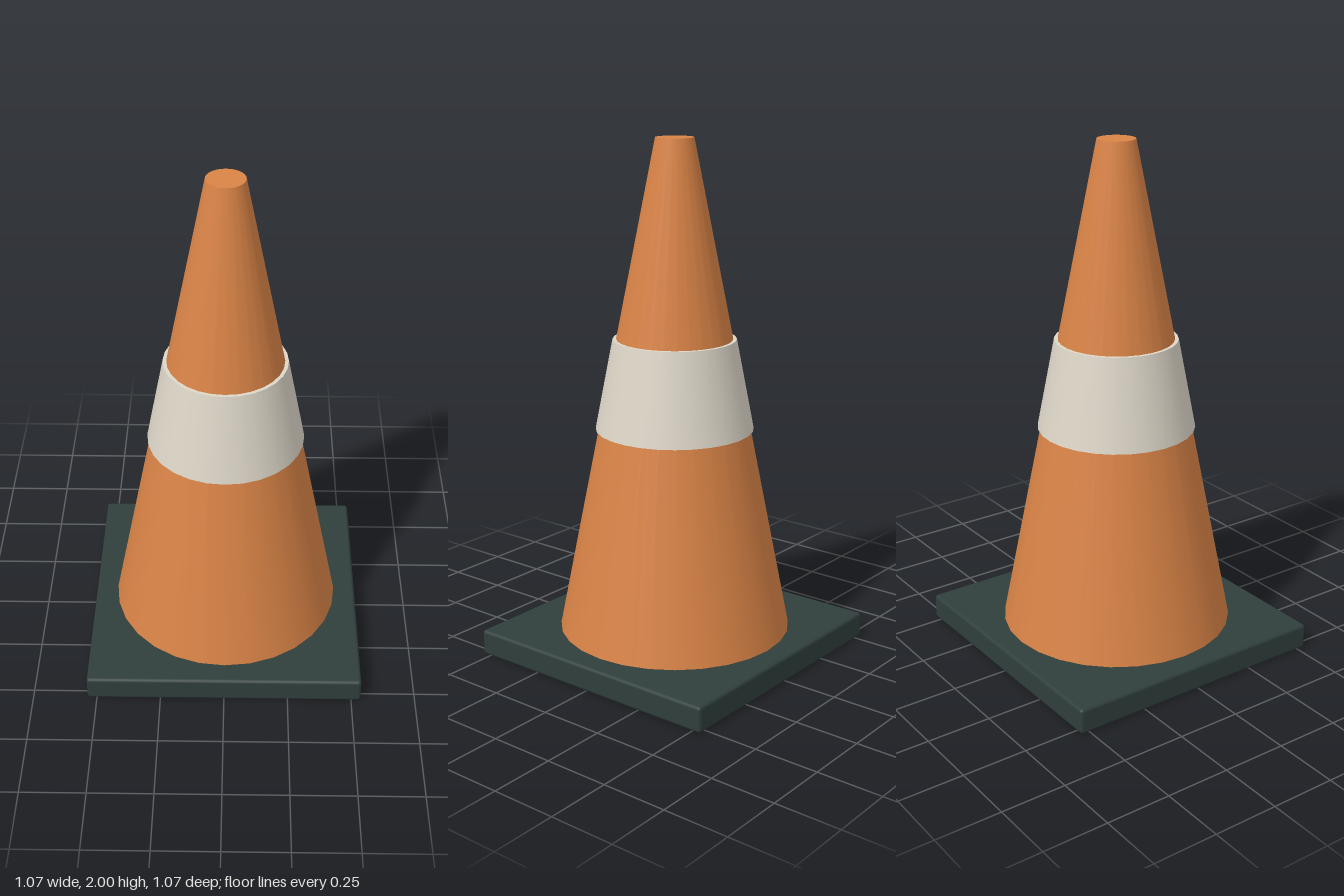
import * as THREE from 'three';
import { RoundedBoxGeometry } from 'three/addons/geometries/RoundedBoxGeometry.js';

const SIDES = 28;
const BASE_TOP = 0.1;

function material(name, color) {
  const m = new THREE.MeshStandardMaterial({ color });
  m.name = name;
  return m;
}

// Capped, tapered round section standing between two heights
function taper(name, mat, bottomRadius, topRadius, y0, y1) {
  const geometry = new THREE.CylinderGeometry(topRadius, bottomRadius, y1 - y0, SIDES);
  const mesh = new THREE.Mesh(geometry, mat);
  mesh.name = name;
  mesh.position.y = (y0 + y1) / 2;
  return mesh;
}

export function createModel() {
  const orange = material('orange plastic', 0xd98346);
  const white = material('off-white band', 0xddd6c8);
  const rubber = material('dark green rubber', 0x2f3e3c);

  const model = new THREE.Group();
  model.name = 'trafficCone';

  // Square foot with slightly rounded edges
  const foot = new THREE.Mesh(new RoundedBoxGeometry(1.074, BASE_TOP, 1.074, 2, 0.013), rubber);
  foot.name = 'base';
  foot.position.y = BASE_TOP / 2;
  model.add(foot);

  // Cone body and the sleeve that stands slightly proud of it
  model.add(taper('coneBody', orange, 0.45, 0.072, BASE_TOP, 2));
  model.add(taper('reflectiveBand', white, 0.303, 0.235, 0.9, 1.25));

  return model;
}
